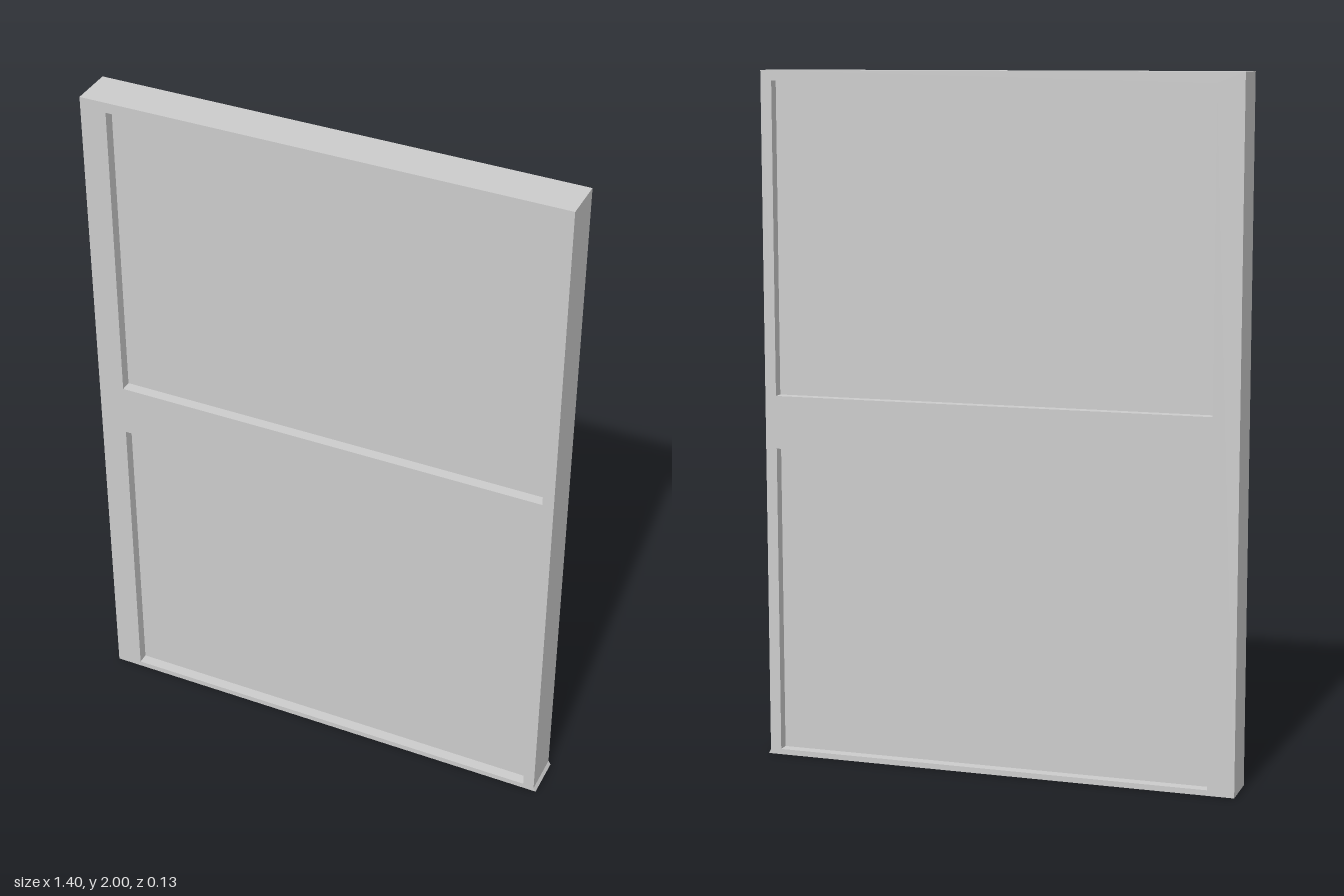
import * as THREE from 'three';

const DEPTH = 0.126;
const PANE_DEPTH = 0.062;
const LEFT = -0.625, RIGHT = 0.662;
const PANES = [
  { name: 'lowerPane', bottom: 0.016, top: 0.916 },
  { name: 'upperPane', bottom: 1.07, top: 1.97 },
];

// Rectangular opening, listed as corner points
function opening({ bottom, top }) {
  return new THREE.Path([
    new THREE.Vector2(LEFT, bottom),
    new THREE.Vector2(LEFT, top),
    new THREE.Vector2(RIGHT, top),
    new THREE.Vector2(RIGHT, bottom),
  ]);
}

export function createModel() {
  const model = new THREE.Group();
  model.name = 'windowSash';
  const material = new THREE.MeshStandardMaterial({ color: 0xcccccc, flatShading: true });

  // Frame with two openings and a tiny flare at one bottom corner
  const outline = new THREE.Shape([
    new THREE.Vector2(-0.702, 0),
    new THREE.Vector2(0.702, 0),
    new THREE.Vector2(0.695, 0.012),
    new THREE.Vector2(0.695, 2),
    new THREE.Vector2(-0.702, 2),
  ]);
  outline.holes = PANES.map(opening);
  const frameGeometry = new THREE.ExtrudeGeometry(outline, { depth: DEPTH, bevelEnabled: false });
  frameGeometry.translate(0, 0, -DEPTH / 2);
  const frame = new THREE.Mesh(frameGeometry, material);
  frame.name = 'frame';
  model.add(frame);

  // Panes recessed from both faces
  for (const { name, bottom, top } of PANES) {
    const pane = new THREE.Mesh(
      new THREE.BoxGeometry(RIGHT - LEFT, top - bottom, PANE_DEPTH), material);
    pane.position.set((LEFT + RIGHT) / 2, (bottom + top) / 2, 0);
    pane.name = name;
    model.add(pane);
  }
  return model;
}
